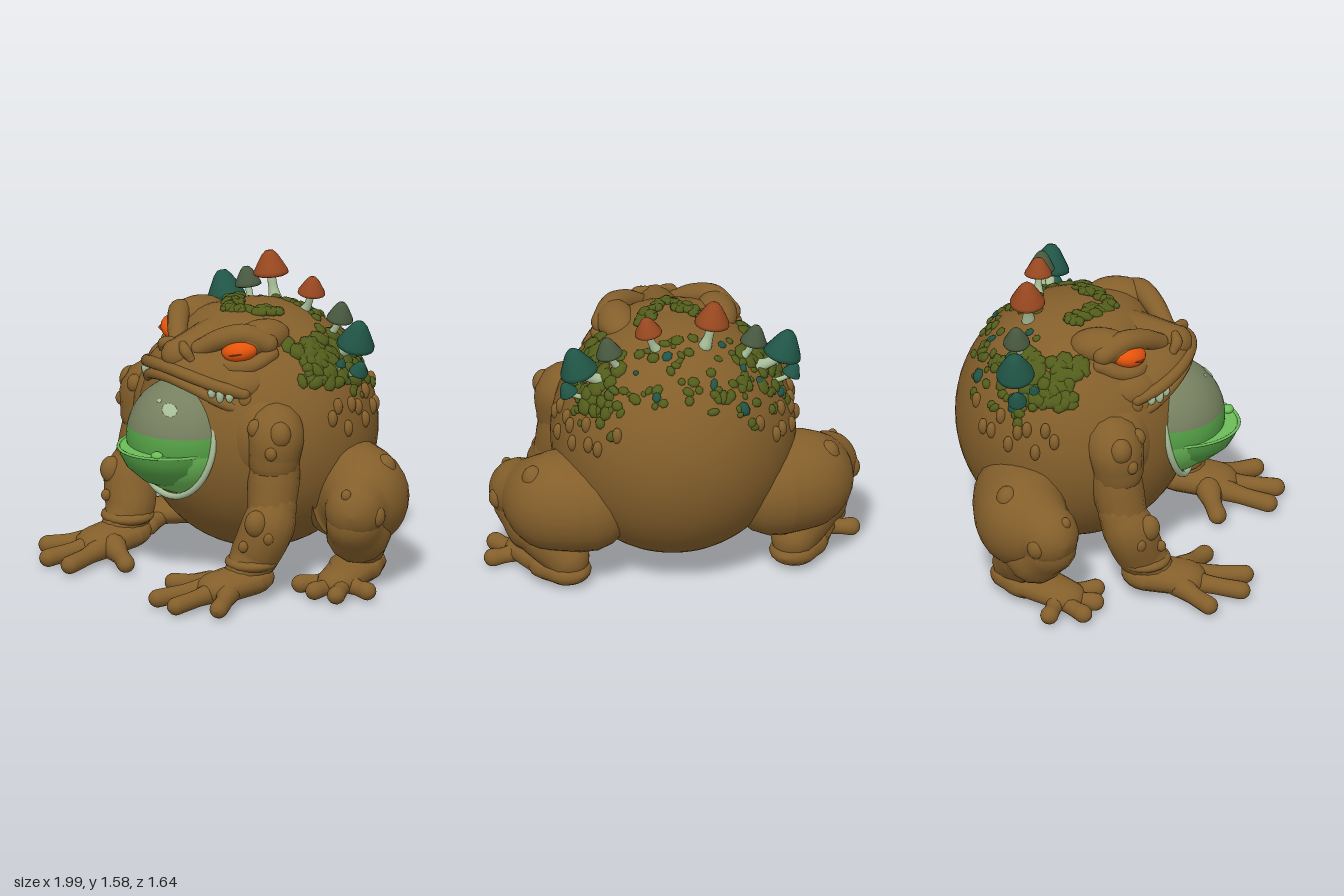
import * as THREE from 'three';

const mat = (name, color, extra = {}) => Object.assign(new THREE.MeshStandardMaterial({ color, ...extra }), { name });
const M = {
  skin: mat('brown skin', 0x845f2b),
  moss: mat('olive moss', 0x525d1b),
  rust: mat('rust cap', 0x97471f),
  eye: mat('orange eye', 0xec560c),
  teal: mat('teal cap', 0x205546),
  sage: mat('dark sage cap', 0x47583f),
  pale: mat('pale stem', 0xa6bc96),
  glass: mat('cloudy glass', 0x76805f),
  liquid: mat('green liquid', 0x54a146),
  lime: mat('light green rim', 0x6cbc58, { side: THREE.DoubleSide }),
};
const V = (x, y, z) => new THREE.Vector3(x, y, z);
const UP = V(0, 1, 0);
const C = V(0, 0.735, -0.2), R = V(0.64, 0.655, 0.62); // trunk centre and radii

// small seeded random
let seed = 7;
const rnd = (a, b) => {
  seed = (seed * 16807) % 2147483647;
  return a + (b - a) * (seed / 2147483647);
};

function add(parent, name, geo, material) {
  const m = new THREE.Mesh(geo, material);
  m.name = name;
  parent.add(m);
  return m;
}

const ball = new THREE.SphereGeometry(1, 20, 14);
const pebble = new THREE.SphereGeometry(1, 7, 5);
function blob(parent, name, p, r, material = M.skin, normal = null, geo = ball) {
  const m = add(parent, name, geo, material);
  m.position.set(...p);
  m.scale.set(...r);
  if (normal) m.quaternion.setFromUnitVectors(UP, normal);
  return m;
}

// round-ended tube through [x, y, z, radius] points
function limb(parent, name, pts, material = M.skin, flat = 1, sides = 14) {
  const path = new THREE.CatmullRomCurve3(pts.map(p => V(p[0], p[1], p[2])));
  const radius = new THREE.CatmullRomCurve3(pts.map(p => V(p[3], 0, 0)));
  const n = pts.length * 4, caps = 5, rings = [];
  for (let k = 0; k < caps; k++) rings.push([0, -Math.cos(k / caps * Math.PI / 2), Math.sin(k / caps * Math.PI / 2)]);
  for (let k = 0; k <= n; k++) rings.push([k / n, 0, 1]);
  for (let k = caps - 1; k >= 0; k--) rings.push([1, Math.cos(k / caps * Math.PI / 2), Math.sin(k / caps * Math.PI / 2)]);
  const d = path.getPoint(1).sub(path.getPoint(0));
  const ref = Math.abs(d.y) > Math.max(Math.abs(d.x), Math.abs(d.z)) ? V(0, 0, 1) : UP;
  const pos = [], idx = [];
  rings.forEach(([t, push, scale], i) => {
    const T = path.getTangent(t), N = T.clone().cross(ref).normalize(), B = T.clone().cross(N);
    const r = radius.getPoint(t).x, c = path.getPoint(t).addScaledVector(T, push * r);
    for (let j = 0; j < sides; j++) {
      const a = j / sides * Math.PI * 2, q = Math.max(scale, 0.004) * r;
      const o = N.clone().multiplyScalar(Math.cos(a) * q).addScaledVector(B, Math.sin(a) * q);
      pos.push(c.x + o.x, c.y + o.y * flat, c.z + o.z);
      if (i) {
        const k = (j + 1) % sides, u = (i - 1) * sides, w = i * sides;
        idx.push(u + j, u + k, w + k, u + j, w + k, w + j);
      }
    }
  });
  const g = new THREE.BufferGeometry();
  g.setAttribute('position', new THREE.Float32BufferAttribute(pos, 3));
  g.setIndex(idx);
  g.computeVertexNormals();
  return add(parent, name, g, material);
}

// points on the trunk surface
const root = v => Math.sqrt(Math.max(0, 1 - v));
const onTop = (x, z) => V(x, C.y + R.y * root((x / R.x) ** 2 + ((z - C.z) / R.z) ** 2), z);
const onSide = (s, y, z) => V(s * R.x * root(((y - C.y) / R.y) ** 2 + ((z - C.z) / R.z) ** 2), y, z);
const normalAt = p => p.clone().sub(C).divide(R).divide(R).normalize();

function tuft(parent, p, size, material = M.moss) {
  const r = [size * rnd(0.7, 1.2), size * rnd(0.5, 0.8), size * rnd(0.8, 1.5)];
  blob(parent, 'mossTuft', p.toArray(), r, material, normalAt(p), pebble).rotateY(rnd(0, 6.28));
}

const capProfile = [[0, 0.1], [0.85, -0.06], [1, 0], [0.97, 0.14], [0.74, 0.45], [0.46, 0.8], [0.24, 0.97], [0, 1]];
const capGeo = new THREE.LatheGeometry(capProfile.map(p => new THREE.Vector2(...p)), 20);
function mushroom(parent, base, top, r, h, material, axis) {
  const g = new THREE.Group();
  g.name = 'mushroom';
  parent.add(g);
  const mid = base.map((v, i) => (v + top[i]) / 2 + (i === 1 ? -0.012 : 0));
  limb(g, 'stem', [[...base, r * 0.4], [...mid, r * 0.28], [...top, r * 0.25]], M.pale, 1, 10);
  blob(g, 'cap', top, [r, h, r], material, V(...axis).normalize(), capGeo);
}

function buildHead(g) {
  // wide upper jaw, arched in the middle and drooping at the cheeks
  const jaw = new THREE.SphereGeometry(1, 40, 26), p = jaw.attributes.position;
  for (let i = 0; i < p.count; i++) {
    const x = p.getX(i) * 0.41, y = p.getY(i);
    p.setXYZ(i, x, 1.145 + y * (y > 0 ? 0.15 : 0.06) - 0.8 * x * x, 0.05 + p.getZ(i) * 0.365);
  }
  jaw.computeVertexNormals();
  add(g, 'upperJaw', jaw, M.skin);
  blob(g, 'cranium', [0, 1.2, -0.05], [0.38, 0.19, 0.25]);
  limb(g, 'snout', [[0, 1.235, 0.06, 0.135], [0, 1.215, 0.2, 0.115], [0, 1.205, 0.33, 0.09]], M.skin, 0.95);
  const lip = (name, y, drop, dz, r) => limb(g, name, [-0.38, -0.3, -0.16, 0, 0.16, 0.3, 0.38].map(x =>
    [x, y - drop * x * x, 0.04 + dz * Math.sqrt(1 - (x / 0.42) ** 2), r]));
  lip('upperLip', 1.15, 0.65, 0.368, 0.032);
  lip('lowerLip', 1.092, 0.95, 0.355, 0.028);
  for (const s of [1, -1]) {
    limb(g, 'nostril', [[s * 0.05, 1.27, 0.34, 0.022], [s * 0.09, 1.25, 0.355, 0.03], [s * 0.115, 1.21, 0.34, 0.022]]);
    blob(g, 'browBulge', [s * 0.265, 1.295, -0.01], [0.105, 0.093, 0.17]);
    limb(g, 'brow', [[s * 0.09, 1.245, 0.265, 0.045], [s * 0.18, 1.305, 0.19, 0.055], [s * 0.27, 1.332, 0.105, 0.058],
      [s * 0.34, 1.285, 0.01, 0.055]]);
    limb(g, 'lowerLid', [[s * 0.14, 1.2, 0.215, 0.04], [s * 0.24, 1.168, 0.19, 0.042], [s * 0.33, 1.18, 0.1, 0.042], [s * 0.36, 1.23, 0.0, 0.04]]);
    blob(g, 'cheek', [s * 0.25, 1.075, 0.11], [0.17, 0.115, 0.18]);
    blob(g, 'mouthCorner', [s * 0.375, 1.015, 0.175], [0.042, 0.05, 0.05]);
    const eye = blob(g, 'eye', [s * 0.262, 1.252, 0.13], [0.098, 0.062, 0.085], M.eye);
    eye.rotation.set(0, s * 0.6, s * 0.2);
    const slit = blob(g, 'pupil', [s * 0.268, 1.248, 0.139], [0.06, 0.007, 0.085], M.rust);
    slit.rotation.copy(eye.rotation);
    for (const [x, y, z, h] of [[0.275, 1.062, 0.328, 0.03], [0.312, 1.052, 0.302, 0.042], [0.345, 1.045, 0.265, 0.032]])
      blob(g, 'tooth', [s * x, y, z], [0.019, h, 0.022], M.pale);
  }
}

function buildThroat(g) {
  const r = 0.31, c = [0, 0.76, 0.28];
  const zone = (name, a, b, m) => add(g, name, new THREE.SphereGeometry(r, 40, 16, 0, Math.PI * 2, a, b - a), m).position.set(...c);
  zone('throatBubble', 0, 1.376, M.glass);
  zone('liquidBand', 1.376, 1.7, M.liquid);
  zone('liquidBottom', 1.7, Math.PI, M.lime);
  const ring = add(g, 'throatRing', new THREE.TorusGeometry(0.305, 0.017, 10, 48), M.pale);
  ring.position.set(0, 0.752, 0.345);
  ring.rotation.x = -0.2;
  // jutting liquid bowl with a light surface
  const bowl = [[0.001, -0.262], [0.25, -0.247], [0.64, -0.178], [0.88, -0.1], [0.97, -0.04], [1, 0]].map(p => new THREE.Vector2(...p));
  const cup = add(g, 'liquidBowl', new THREE.LatheGeometry(bowl, 48), M.liquid);
  const top = add(g, 'liquidSurface', new THREE.CircleGeometry(1, 48).rotateX(-Math.PI / 2), M.lime);
  const rim = add(g, 'liquidRim', new THREE.TorusGeometry(1, 0.025, 8, 48).rotateX(Math.PI / 2), M.lime);
  for (const m of [cup, top, rim]) {
    m.position.set(0, 0.725, 0.3);
    m.scale.set(0.285, m === rim ? 0.3 : 1, 0.365);
  }
  blob(g, 'liquidDrop', [0.14, 0.735, 0.585], [0.035, 0.022, 0.03], M.lime);
  for (const [x, y, w] of [[0.12, 0.96, 0.045], [0.035, 0.99, 0.014]]) {
    const n = V(x, y - c[1], Math.sqrt(r * r - x * x - (y - c[1]) ** 2)).normalize();
    blob(g, 'glint', V(...c).addScaledVector(n, r).toArray(), [w, 0.004, w * 0.8], M.pale, n);
  }
}

function buildLegs(g, s) {
  const m = pts => pts.map(([x, ...rest]) => [s * x, ...rest]);
  // front leg
  blob(g, 'chest', [s * 0.38, 0.8, 0.06], [0.2, 0.26, 0.215]);
  limb(g, 'shoulder', m([[0.42, 0.88, 0.04, 0.14], [0.52, 0.85, 0.1, 0.15], [0.53, 0.72, 0.12, 0.135]]));
  limb(g, 'upperArm', m([[0.52, 0.74, 0.1, 0.125], [0.53, 0.6, 0.12, 0.135], [0.55, 0.47, 0.15, 0.125]]));
  limb(g, 'forearm', m([[0.56, 0.48, 0.14, 0.12], [0.565, 0.37, 0.19, 0.14], [0.52, 0.22, 0.24, 0.13], [0.51, 0.13, 0.31, 0.1]]));
  blob(g, 'wristFold', [s * 0.515, 0.19, 0.255], [0.14, 0.05, 0.14]);
  limb(g, 'palm', m([[0.51, 0.1, 0.27, 0.135], [0.5, 0.083, 0.45, 0.13]]), M.skin, 0.62);
  for (const [x, z] of [[0.71, 0.63], [0.53, 0.77], [0.365, 0.76], [0.2, 0.52]])
    limb(g, 'finger', m([[0.49 + (x - 0.49) * 0.3, 0.075, 0.44, 0.07], [0.49 + (x - 0.49) * 0.75, 0.058, 0.44 + (z - 0.44) * 0.6, 0.046], [x, 0.05, z, 0.048]]));
  // hind leg
  limb(g, 'thigh', m([[0.5, 0.46, -0.39, 0.26], [0.68, 0.46, -0.34, 0.255], [0.81, 0.455, -0.2, 0.16]]), M.skin, 1.05, 28);
  limb(g, 'shin', m([[0.8, 0.38, -0.2, 0.15], [0.7, 0.26, -0.32, 0.15], [0.6, 0.15, -0.41, 0.12]]));
  limb(g, 'foot', m([[0.6, 0.078, -0.41, 0.13], [0.68, 0.078, -0.28, 0.13], [0.76, 0.07, -0.13, 0.115]]), M.skin, 0.58);
  for (const [x, z] of [[0.945, -0.17], [0.9, 0.0], [0.77, 0.04], [0.63, 0.02]])
    limb(g, 'toe', m([[0.75 + (x - 0.75) * 0.2, 0.065, -0.15, 0.06], [0.75 + (x - 0.75) * 0.7, 0.05, -0.15 + (z + 0.15) * 0.6, 0.042], [x, 0.048, z, 0.048]]));
  // warts
  const warts = [[0.62, 0.88, 0.15, 0.065], [0.5, 0.9, 0.22, 0.045], [0.62, 0.79, 0.21, 0.035], [0.6, 0.42, 0.295, 0.065], [0.57, 0.3, 0.355, 0.028],
    [0.66, 0.35, 0.26, 0.035], [0.78, 0.63, -0.42, 0.065], [0.93, 0.44, -0.24, 0.055], [0.86, 0.56, -0.1, 0.03], [0.42, 0.98, 0.16, 0.03]];
  for (const [x, y, z, r] of warts) blob(g, 'wart', [s * x, y, z], [r * 0.9, r * 1.1, r * 0.9]);
}

function buildGrowth(g) {
  // moss crown on the head
  for (let i = 0; i < 54; i++) {
    const x = rnd(-0.18, 0.18), z = 0.02 - Math.abs(x) * 0.9 + rnd(-0.1, 0.01);
    tuft(g, V(x, 1.39 - x * x * 0.4, z), rnd(0.022, 0.036));
  }
  for (const s of [1, -1]) {
    // thick shoulder moss, then looser tufts and drop-shaped warts
    for (let i = 0; i < 84; i++) {
      const z = rnd(-0.44, -0.08);
      tuft(g, onSide(s, rnd(1.11 + z * 0.17, 1.26), z), rnd(0.03, 0.046));
    }
    for (let i = 0; i < 34; i++) tuft(g, onSide(s, rnd(0.95, 1.2), rnd(-0.68, -0.35)), rnd(0.02, 0.036), i % 12 ? M.moss : M.teal);
    for (let i = 0; i < 10; i++) {
      const p = onSide(s, 0.9 + 0.07 * Math.sin(i * 2.3), -0.2 - i * 0.05);
      blob(g, 'dropWart', p.toArray(), [0.026, 0.045, 0.026]);
    }
    mushroom(g, [s * 0.39, 1.17, -0.4], [s * 0.535, 1.235, -0.42], 0.1, 0.145, M.teal, [s * 0.3, 1, 0]);
    mushroom(g, [s * 0.32, 1.24, -0.42], [s * 0.38, 1.335, -0.44], 0.07, 0.1, M.sage, [s * 0.2, 1, 0]);
    mushroom(g, [s * 0.46, 1.08, -0.4], [s * 0.585, 1.105, -0.4], 0.05, 0.07, M.teal, [s * 0.5, 1, 0]);
    mushroom(g, [s * 0.47, 1.08, -0.33], [s * 0.54, 1.15, -0.32], 0.028, 0.04, M.teal, [s * 0.4, 1, 0]);
  }
  // loose tufts over the back
  for (let i = 0; i < 62; i++) {
    const x = rnd(-0.45, 0.45), z = rnd(-0.72, -0.34);
    if ((x / R.x) ** 2 + ((z - C.z) / R.z) ** 2 < 0.84) tuft(g, onTop(x, z), rnd(0.016, 0.032), i % 9 ? M.moss : M.teal);
  }
  mushroom(g, [-0.13, 1.33, -0.42], [-0.165, 1.455, -0.42], 0.092, 0.125, M.rust, [-0.12, 1, 0]);
  mushroom(g, [0.13, 1.33, -0.41], [0.17, 1.43, -0.42], 0.072, 0.093, M.rust, [0.15, 1, 0]);
}

export function createModel() {
  seed = 7;
  const model = new THREE.Group();
  model.name = 'mushroomToad';
  const part = name => {
    const g = new THREE.Group();
    g.name = name;
    model.add(g);
    return g;
  };
  blob(model, 'trunk', C.toArray(), R.toArray(), M.skin, null, new THREE.SphereGeometry(1, 56, 36));
  buildHead(part('head'));
  buildThroat(part('throat'));
  buildLegs(part('leftLegs'), 1);
  buildLegs(part('rightLegs'), -1);
  buildGrowth(part('growth'));
  return model;
}
